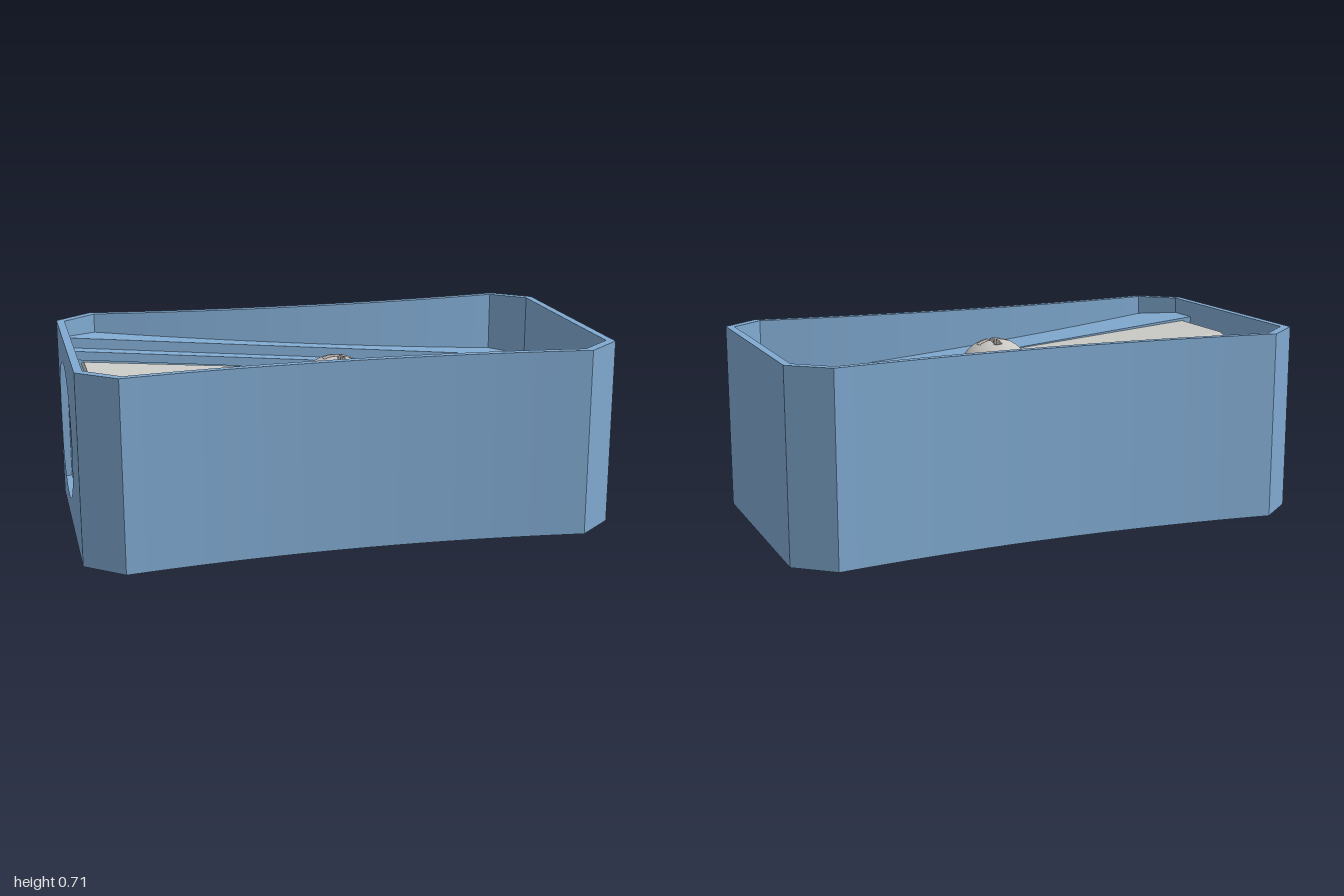
import * as THREE from 'three';

const body = new THREE.MeshStandardMaterial({ name: 'body blue', color: 0x80aad1 });
const steel = new THREE.MeshStandardMaterial({ name: 'blade steel', color: 0xcbcbc6 });
const screwSteel = new THREE.MeshStandardMaterial({ name: 'screw steel', color: 0xcac7c3 });

const H = 0.71, BASE = 0.07;                 // total height, base thickness
const BORE = { z: -0.13, y: 0.345, r: 0.26 };
const floorY = x => 0.555 - 0.095 * x;       // sloping recess floor
const bladeY = x => 0.552 - 0.087 * x;       // blade top plane

const toShape = pts => new THREE.Shape(pts.map(p => new THREE.Vector2(...p)));

// One long concave side with its two chamfer corners, from -x to +x
function longSide(s, endX, endZ, cornerX, cornerZ, midZ) {
  const pts = [[-endX, s * endZ]];
  for (let i = 0; i <= 24; i++) {
    const t = i / 12 - 1;
    pts.push([t * cornerX, s * (midZ + (cornerZ - midZ) * t * t)]);
  }
  pts.push([endX, s * endZ]);
  return pts;
}
const outer = s => longSide(s, 1, 0.43, 0.86, 0.548, 0.49);
const inner = s => longSide(s, 0.97, 0.41, 0.845, 0.517, 0.46);

// Upright prism over an (x, z) outline, between two heights that may vary with x
function prism(pts, low, high) {
  const g = new THREE.ExtrudeGeometry(toShape(pts.map(([x, z]) => [x, -z])), { depth: 1, bevelEnabled: false });
  g.rotateX(-Math.PI / 2);
  const p = g.attributes.position;
  for (let i = 0; i < p.count; i++) {
    p.setY(i, p.getY(i) > 0.5 ? high(p.getX(i)) : low(p.getX(i)));
  }
  g.computeVertexNormals();
  return g;
}

// Bar along x with a (z, y) cross-section
function alongX(shape, x0, x1) {
  const g = new THREE.ExtrudeGeometry(shape, { depth: x1 - x0, bevelEnabled: false, curveSegments: 48 });
  return g.rotateY(Math.PI / 2).translate(x0, 0, 0);
}
const profile = pts => toShape(pts.map(([z, y]) => [-z, y]));

export function createModel() {
  const group = new THREE.Group();
  const add = (name, geometry, material) => {
    const m = new THREE.Mesh(geometry, material);
    m.name = name;
    group.add(m);
    return m;
  };
  const flat = y => () => y;

  // Base and the wall running round three sides
  add('base', prism([...outer(1), ...outer(-1).reverse()], flat(0), flat(BASE)), body);
  const wall = [
    [-1, 0.41], ...outer(1), ...outer(-1).reverse(), [-1, -0.41],
    ...inner(-1), ...inner(1).reverse(),
  ];
  add('sideWalls', prism(wall, flat(BASE), flat(H)), body);

  // End wall with the round pencil hole
  const end = profile([[-0.41, BASE], [0.41, BASE], [0.41, H], [-0.41, H]]);
  end.holes.push(new THREE.Path().absarc(-BORE.z, BORE.y, BORE.r, 0, Math.PI * 2, true));
  add('holeWall', alongX(end, -1, -0.97), body);

  // Sloping floor on both sides of the slot
  add('frontFloor', prism([...inner(1), [0.97, 0.28], [-0.97, 0.28]], flat(BASE), floorY), body);
  add('backFloor', prism([
    ...inner(-1), [0.97, -0.16], [0.87, -0.16], [0.87, -0.39], [-0.97, -0.39],
  ], flat(BASE), floorY), body);

  // Pencil bore with the ledge below the blade
  const bore = [[-0.39, BASE], [0.28, BASE], [0.28, 0.43]];
  for (let i = 0; i <= 40; i++) {
    const a = 0.333 - (0.333 + Math.PI) * i / 40;
    bore.push([BORE.z + BORE.r * Math.cos(a), BORE.y + BORE.r * Math.sin(a)]);
  }
  add('bore', alongX(profile(bore), -0.97, 0.87), body);
  add('boreEnd', prism([[0.87, -0.16], [0.97, -0.16], [0.97, 0.28], [0.87, 0.28]], flat(BASE), flat(0.43)), body);

  // Narrow lip beside the slot
  add('slotLip', prism([[-0.97, -0.4], [0.07, -0.4], [0.07, -0.33], [-0.97, -0.33]],
    x => floorY(x) - 0.075, x => floorY(x) - 0.04), body);

  // Blade with a bevelled cutting edge, tilted with the floor
  const blade = alongX(profile([[0.28, 0], [-0.03, 0], [-0.16, -0.035], [-0.16, -0.042], [0.28, -0.042]]), -0.93, 0.97);
  const bp = blade.attributes.position;
  for (let i = 0; i < bp.count; i++) bp.setY(i, bp.getY(i) + bladeY(bp.getX(i)));
  blade.computeVertexNormals();
  add('blade', blade, steel);

  // Domed screw head with a sunken cross
  const R = 0.13, h = 0.08, dome = [new THREE.Vector2(R, 0), new THREE.Vector2(R, 0.012)];
  const sphere = (R * R + h * h) / (2 * h);
  for (let i = 1; i <= 36; i++) {
    const r = R * (1 - i / 36);
    dome.push(new THREE.Vector2(r, 0.012 + h - sphere + Math.sqrt(sphere * sphere - r * r)));
  }
  const head = new THREE.LatheGeometry(dome, 96);
  const hp = head.attributes.position;
  for (let i = 0; i < hp.count; i++) {
    const x = Math.abs(hp.getX(i)), z = Math.abs(hp.getZ(i));
    if (Math.min(x, z) < 0.012 && Math.max(x, z) < 0.06) hp.setY(i, hp.getY(i) - 0.025);
  }
  head.computeVertexNormals();
  const screw = add('screw', head, screwSteel);
  screw.position.set(0.005, bladeY(0), 0.13);
  screw.rotation.z = -Math.atan(0.087);

  return group;
}
